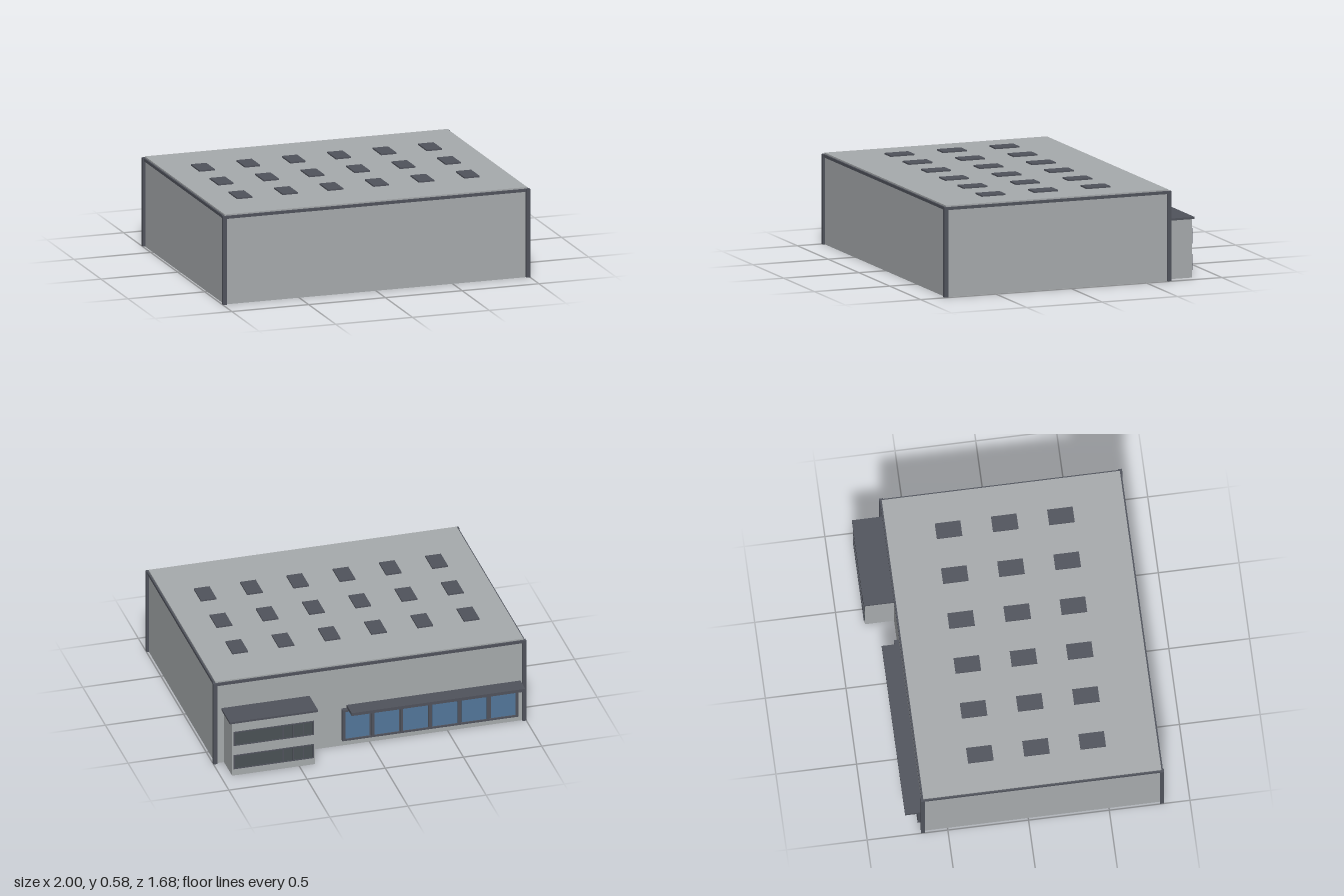
import * as THREE from 'three';

const mat = (name, color) => {
  const m = new THREE.MeshStandardMaterial({ color });
  m.name = name;
  return m;
};

export function createModel() {
  const wall = mat('grey cladding', 0xa7abad);
  const trim = mat('dark trim', 0x50535c);
  const blue = mat('blue glass', 0x53779b);
  const dark = mat('dark glass', 0x4a5155);

  const model = new THREE.Group();
  model.name = 'warehouse';

  // Box given by its lower and upper limits on each axis
  const box = (name, material, [x0, x1], [y0, y1], [z0, z1], parent = model) => {
    const mesh = new THREE.Mesh(new THREE.BoxGeometry(x1 - x0, y1 - y0, z1 - z0), material);
    mesh.position.set((x0 + x1) / 2, (y0 + y1) / 2, (z0 + z1) / 2);
    mesh.name = name;
    parent.add(mesh);
    return mesh;
  };
  const group = (name) => {
    const g = new THREE.Group();
    g.name = name;
    model.add(g);
    return g;
  };

  // Main hall: plinth, walls and roof slab
  const hallX = [-0.985, 0.985], hallZ = [-0.65, 0.825];
  box('plinth', wall, hallX, [0, 0.05], hallZ);
  box('walls', wall, hallX, [0.05, 0.56], hallZ);
  box('roof', wall, hallX, [0.56, 0.572], hallZ);

  // Corner posts and eaves trim
  const edges = group('edgeTrim');
  for (const x of [[-1, -0.975], [0.975, 1]])
    for (const z of [[-0.665, -0.64], [0.815, 0.84]])
      box('cornerPost', trim, x, [0.001, 0.563], z, edges);
  box('backEave', trim, [-0.98, 0.98], [0.545, 0.563], [-0.66, -0.648], edges);
  box('frontEave', trim, [-0.98, 0.98], [0.545, 0.563], [0.823, 0.835], edges);
  box('rightEave', trim, [-0.995, -0.983], [0.545, 0.563], [-0.645, 0.82], edges);
  box('leftEave', trim, [0.983, 0.995], [0.545, 0.563], [-0.645, 0.82], edges);

  // Grid of rooflights
  const lights = group('rooflights');
  for (let i = 0; i < 6; i++)
    for (let j = 0; j < 3; j++) {
      const x = -0.742 + i * 0.296, z = -0.268 + j * 0.348;
      box('rooflight', trim, [x - 0.05, x + 0.05], [0.571, 0.581], [z - 0.079, z + 0.079], lights);
    }

  // Shopfront: dark frame with six glass panes
  const shop = group('shopfront');
  const x0 = -0.945, x1 = 0.18, step = (x1 - x0) / 6;
  box('frameBack', trim, [x0, x1], [0.045, 0.26], [-0.668, -0.649], shop);
  box('sill', trim, [x0, x1], [0.045, 0.057], [-0.68, -0.66], shop);
  box('head', trim, [x0, x1], [0.248, 0.26], [-0.68, -0.66], shop);
  for (let i = 0; i <= 6; i++) {
    const x = x0 + 0.009 + i * (x1 - x0 - 0.018) / 6;
    box('mullion', trim, [x - 0.009, x + 0.009], [0.057, 0.248], [-0.68, -0.66], shop);
  }
  for (let i = 0; i < 6; i++)
    box('pane', blue, [x0 + i * step + 0.014, x0 + (i + 1) * step - 0.014],
      [0.058, 0.247], [-0.674, -0.667], shop);
  box('canopy', trim, [-0.965, 0.145], [0.26, 0.28], [-0.76, -0.649], shop);

  // Office annex with two bands of windows
  const annex = group('annex');
  box('annexWalls', wall, [0.4, 0.93], [0, 0.37], [-0.83, -0.649], annex);
  box('annexRoof', trim, [0.383, 0.947], [0.368, 0.381], [-0.84, -0.649], annex);
  for (const y of [0.047, 0.21]) {
    box('windowBand', dark, [0.408, 0.922], [y, y + 0.096], [-0.834, -0.829], annex);
    for (const ry of [y, y + 0.09])
      box('windowRail', trim, [0.408, 0.922], [ry, ry + 0.006], [-0.837, -0.829], annex);
    for (const x of [0.412, 0.475, 0.54, 0.605, 0.918])
      box('windowBar', trim, [x - 0.004, x + 0.004], [y + 0.006, y + 0.09], [-0.837, -0.829], annex);
  }

  return model;
}
